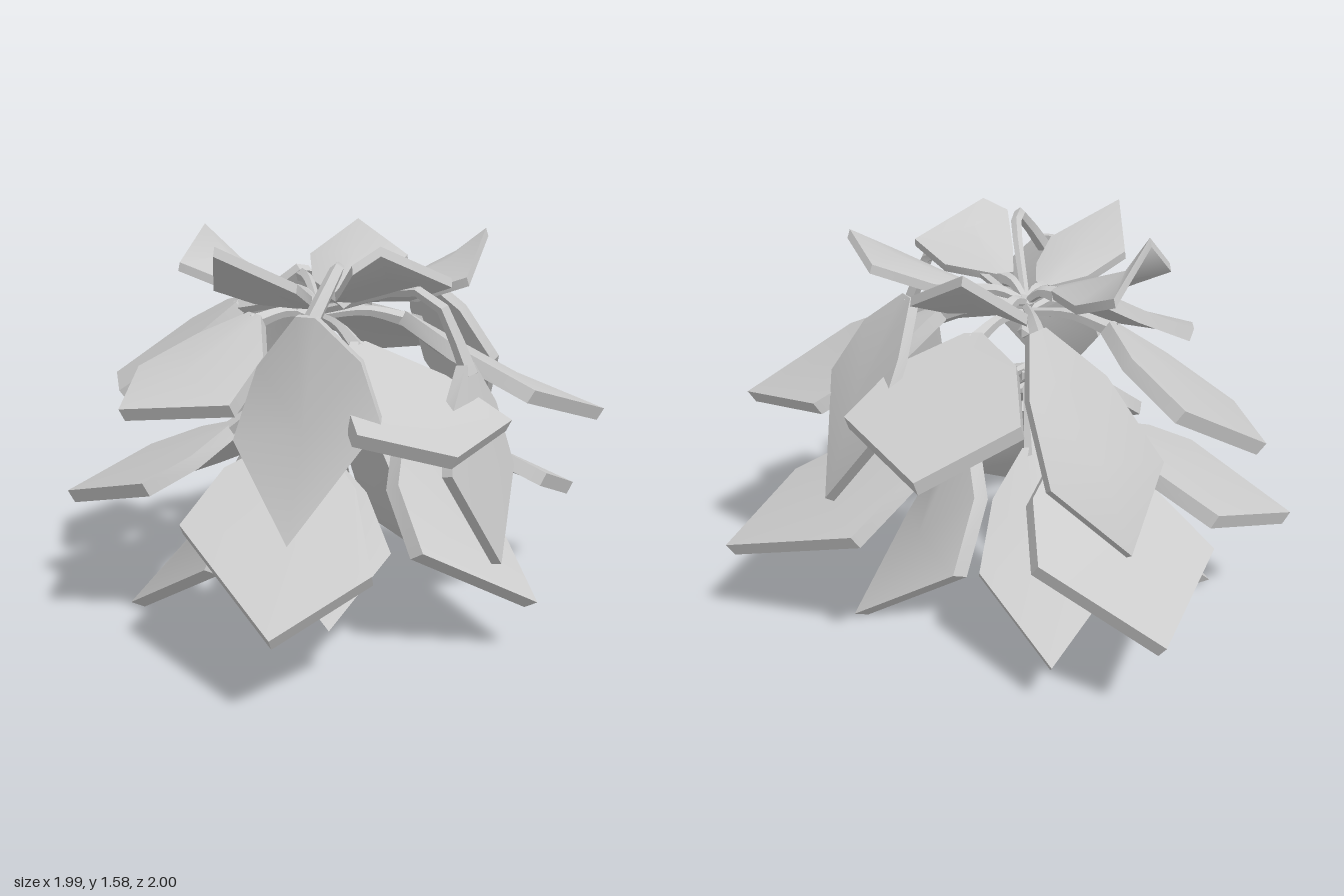
import * as THREE from 'three';
import { toCreasedNormals } from 'three/addons/utils/BufferGeometryUtils.js';

const V = (a) => new THREE.Vector3(...a);
const material = new THREE.MeshStandardMaterial({ color: 0xcccccc, side: THREE.DoubleSide });

// Thick blade: short base edge, two shoulders, two corners and a tip
function bladeGeometry(base, cornerA, tip, cornerB, thickness) {
  const axis = tip.clone().sub(base).normalize();
  const shoulder = (corner) => {
    const d = corner.clone().sub(base);
    const out = d.clone().addScaledVector(axis, -d.dot(axis));
    return base.clone().addScaledVector(d, 0.4).addScaledVector(out, 0.3);
  };
  const normal = cornerA.clone().sub(base).cross(cornerB.clone().sub(base)).normalize();
  // run the outline anticlockwise as seen from the upper side
  const [first, last] = normal.y < 0 ? [cornerB, cornerA] : [cornerA, cornerB];
  if (normal.y < 0) normal.negate();
  const side = axis.clone().cross(normal).multiplyScalar(0.035);
  const ring = [base.clone().sub(side), base.clone().add(side),
    shoulder(first), first, tip, last, shoulder(last)];
  if (ring[0].distanceTo(ring[2]) < ring[1].distanceTo(ring[2])) [ring[0], ring[1]] = [ring[1], ring[0]];

  const centre = cornerA.clone().add(cornerB).multiplyScalar(0.3)
    .addScaledVector(base, 0.2).addScaledVector(tip, 0.2).addScaledVector(normal, 0.01);
  const drop = (p) => p.clone().addScaledVector(normal, -thickness);
  const points = [];
  ring.forEach((p, i) => {
    const q = ring[(i + 1) % ring.length];
    points.push(centre, p, q, drop(centre), drop(q), drop(p));
    points.push(p, drop(p), drop(q), p, drop(q), q);
  });
  return toCreasedNormals(new THREE.BufferGeometry().setFromPoints(points), 0.7);
}

// Stalk that widens towards the blade
function stalkGeometry(points) {
  const path = new THREE.CatmullRomCurve3(points);
  const rings = 7, sides = 5;
  const g = new THREE.TubeGeometry(path, rings, 0.022, sides);
  const pos = g.attributes.position, p = new THREE.Vector3();
  for (let i = 0; i < pos.count; i++) {
    const t = Math.floor(i / (sides + 1)) / rings;
    const c = path.getPointAt(t);
    p.fromBufferAttribute(pos, i).sub(c).multiplyScalar(0.8 + 0.7 * t * t).add(c);
    pos.setXYZ(i, p.x, p.y, p.z);
  }
  return toCreasedNormals(g, 0.5);
}

function leaf(name, hubY, thickness, [b, ca, t, cb, via]) {
  const group = new THREE.Group();
  group.name = name;
  const base = V(b), tip = V(t);
  const blade = new THREE.Mesh(bladeGeometry(base, V(ca), tip, V(cb), thickness), material);
  blade.name = 'blade';
  const hub = V([0.01, hubY, 0]);
  const bend = via ? V(via) : hub.clone().lerp(base, 0.55).add(V([0, 0.01, 0]));
  const end = base.clone().lerp(tip, 0.02);
  end.y -= 0.03;
  const stalk = new THREE.Mesh(stalkGeometry([hub, bend, end]), material);
  stalk.name = 'stalk';
  group.add(blade, stalk);
  return group;
}

// Each leaf: base, corner, tip, other corner, optional stalk bend
const topLeaves = [
  [[0.02, 1.31, 0.13], [-0.17, 1.4, 0.44], [-0.01, 1.55, 0.65], [0.18, 1.41, 0.42]],
  [[0.17, 1.34, 0.08], [0.6, 1.42, 0.04], [0.47, 1.55, 0.34], [0.41, 1.49, 0.43]],
  [[0.19, 1.33, -0.09], [0.38, 1.47, -0.46], [0.53, 1.57, -0.41], [0.6, 1.41, -0.09]],
  [[-0.12, 1.35, 0], [-0.48, 1.42, -0.16], [-0.47, 1.58, 0.1], [-0.46, 1.44, 0.28]],
  [[-0.01, 1.31, -0.17], [-0.33, 1.42, -0.47], [-0.18, 1.57, -0.63], [0.1, 1.43, -0.57]],
];
const middleLeaves = [
  [[-0.09, 1.27, 0.3], [-0.43, 1.08, 0.58], [-0.27, 0.99, 0.88], [0.1, 1.02, 0.73]],
  [[0.3, 1.25, -0.18], [0.56, 0.93, -0.64], [0.99, 0.86, -0.59], [0.9, 1.02, -0.06]],
  [[-0.38, 1.27, 0], [-0.84, 1.12, -0.27], [-1.0, 0.91, 0.07], [-0.73, 0.91, 0.36]],
  [[0, 1.25, -0.35], [0.17, 1.06, -0.87], [-0.25, 0.98, -1.0], [-0.47, 1.13, -0.71]],
  [[0.35, 1.2, 0.28], [0.58, 0.97, 0.68], [0.9, 0.92, 0.59], [0.88, 0.94, 0.1]],
];
const hangingLeaves = [
  [[0.36, 1.34, 0.63], [0.1, 0.9, 0.69], [0.38, 0.59, 0.78], [0.6, 0.99, 0.54], [0.36, 1.48, 0.44]],
  [[0.72, 1.13, 0.12], [0.78, 0.78, 0.37], [0.87, 0.4, 0.12], [0.79, 0.7, -0.16], [0.56, 1.36, 0.12]],
  [[0.22, 1.38, -0.46], [0.1, 0.96, -0.81], [0.38, 0.64, -0.79], [0.55, 1.04, -0.54], [0.14, 1.35, -0.28]],
  [[-0.37, 1.37, -0.47], [-0.59, 0.93, -0.71], [-0.78, 0.64, -0.49], [-0.79, 0.93, -0.31], [-0.24, 1.33, -0.31]],
];
const lowerLeaves = [
  [[0.17, 0.86, 0.36], [-0.07, 0.58, 0.81], [0.44, 0.33, 1.0], [0.63, 0.48, 0.66]],
  [[0.42, 0.84, 0], [0.64, 0.45, 0.3], [0.97, 0.23, 0], [0.66, 0.45, -0.29]],
  [[0.23, 0.85, -0.36], [0.17, 0.58, -0.88], [0.74, 0.41, -0.99], [0.77, 0.56, -0.57]],
  [[-0.33, 0.78, 0.15], [-0.47, 0.6, 0.54], [-0.98, 0.46, 0.43], [-0.86, 0.59, 0.02]],
  [[-0.33, 0.82, -0.22], [-0.52, 0.6, -0.68], [-0.98, 0.39, -0.58], [-0.86, 0.46, 0]],
];
const bottomLeaves = [
  [[-0.16, 0.77, 0.24], [-0.19, 0.29, 0.52], [-0.65, 0.025, 0.43], [-0.45, 0.4, 0.06]],
  [[0.17, 0.78, -0.22], [0, 0.29, -0.51], [0.42, 0.025, -0.64], [0.47, 0.3, -0.23]],
  [[0.13, 0.75, 0.2], [0, 0.44, 0.44], [0.4, 0.19, 0.56], [0.45, 0.38, 0.19]],
  [[-0.17, 0.78, -0.22], [-0.2, 0.42, -0.6], [-0.58, 0.2, -0.68], [-0.62, 0.42, -0.25]],
];

export function createModel() {
  const plant = new THREE.Group();
  plant.name = 'leafyPlant';
  const tiers = [
    ['topLeaf', 1.27, 0.035, topLeaves],
    ['middleLeaf', 1.23, 0.055, middleLeaves],
    ['hangingLeaf', 1.25, 0.04, hangingLeaves],
    ['lowerLeaf', 1.0, 0.06, lowerLeaves],
    ['bottomLeaf', 0.92, 0.06, bottomLeaves],
  ];
  for (const [name, hubY, thickness, leaves] of tiers)
    leaves.forEach((data, i) => plant.add(leaf(name + (i + 1), hubY, thickness, data)));

  // small buds where the stalks meet
  for (const y of [1.27, 1.15, 0.97]) {
    const bud = new THREE.Mesh(new THREE.IcosahedronGeometry(0.035, 0), material);
    bud.name = 'bud';
    bud.position.set(0.01, y, 0);
    plant.add(bud);
  }
  return plant;
}
